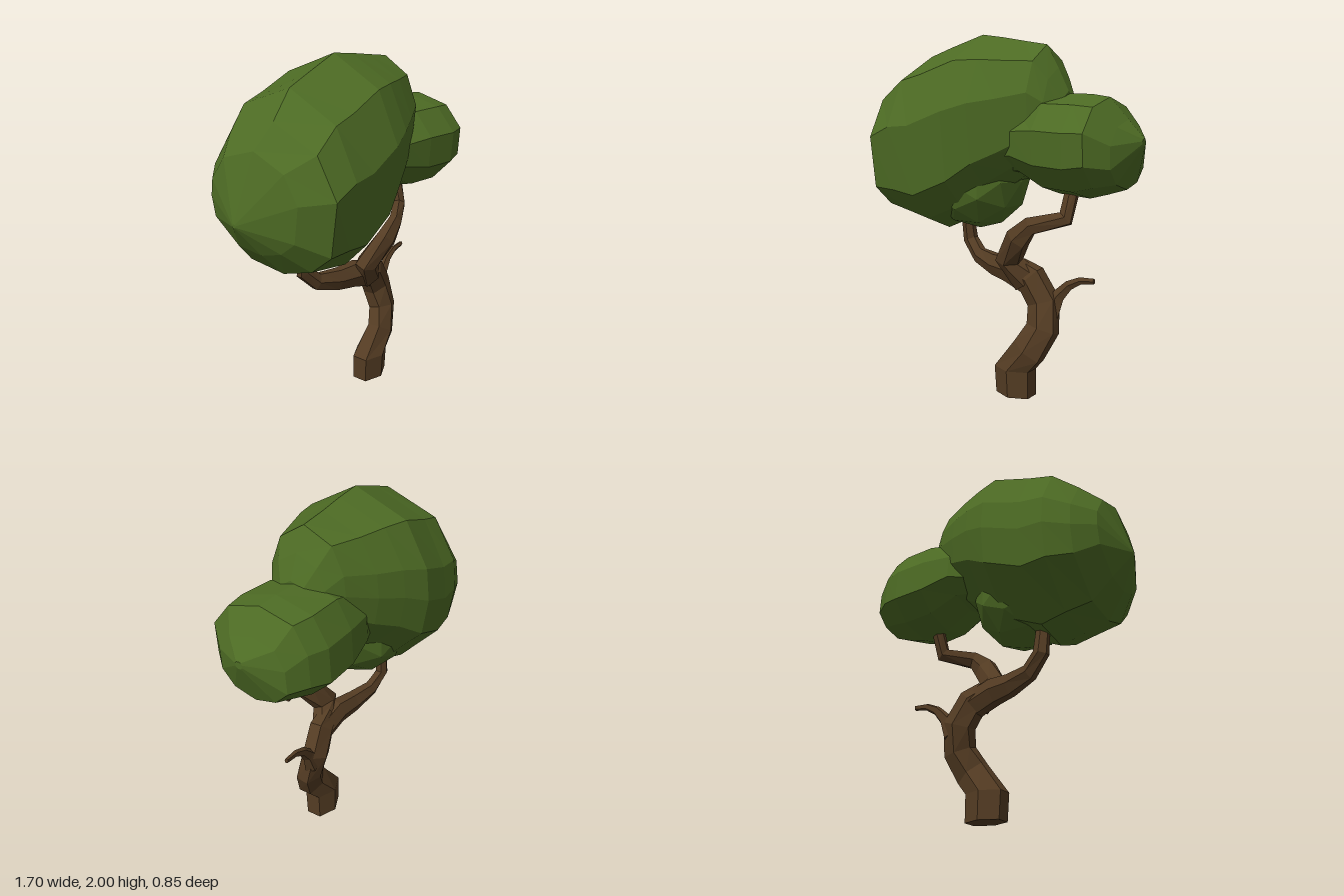
import * as THREE from 'three';

// Joins a row of equal-sided rings into a closed, flat-faceted skin
function loft(rings) {
  const n = rings[0].length;
  const pos = [];
  const tri = (...pts) => pts.forEach((p) => pos.push(p.x, p.y, p.z));
  for (let i = 0; i < rings.length - 1; i++) {
    for (let j = 0; j < n; j++) {
      const k = (j + 1) % n;
      const [a, b, c, d] = [rings[i][j], rings[i][k], rings[i + 1][j], rings[i + 1][k]];
      tri(a, c, b);
      tri(b, c, d);
    }
  }
  const middle = (ring) => ring.reduce((s, p) => s.add(p), new THREE.Vector3()).divideScalar(n);
  const first = rings[0], last = rings[rings.length - 1];
  const m0 = middle(first), m1 = middle(last);
  for (let j = 0; j < n; j++) {
    const k = (j + 1) % n;
    tri(m0, first[j], first[k]);
    tri(m1, last[k], last[j]);
  }
  const g = new THREE.BufferGeometry();
  g.setAttribute('position', new THREE.Float32BufferAttribute(pos, 3));
  g.computeVertexNormals();
  return g;
}

// Foliage: a unit section [z, y] fitted to stations [x, bottom, top, back, front]
function foliage(section, stations) {
  return loft(stations.map(([x, y0, y1, z0, z1]) =>
    section.map(([sz, sy]) => new THREE.Vector3(
      x,
      (y0 + y1) / 2 + ((y1 - y0) / 2) * sy,
      (z0 + z1) / 2 + ((z1 - z0) / 2) * sz
    ))));
}

// Wood: bent, tapering limb through points [x, y, z, radius]; the first levelRings stay horizontal
function limb(path, sides = 6, levelRings = 0) {
  const pts = path.map(([x, y, z]) => new THREE.Vector3(x, y, z));
  return loft(path.map(([, , , r], i) => {
    const t = pts[Math.min(i + 1, pts.length - 1)].clone().sub(pts[Math.max(i - 1, 0)]).normalize();
    if (i < levelRings) t.set(0, 1, 0);
    const u = new THREE.Vector3(0, 0, 1).addScaledVector(t, -t.z).normalize();
    const v = new THREE.Vector3().crossVectors(u, t);
    return Array.from({ length: sides }, (_, j) => {
      const a = (j / sides) * Math.PI * 2;
      return pts[i].clone()
        .addScaledVector(u, r * 0.84 * Math.cos(a))
        .addScaledVector(v, r * 1.15 * Math.sin(a));
    });
  }));
}

export function createModel() {
  const leaf = new THREE.MeshStandardMaterial({ color: 0x4d6b24 });
  leaf.name = 'leaf green';
  const bark = new THREE.MeshStandardMaterial({ color: 0x543c23 });
  bark.name = 'bark brown';

  const tree = new THREE.Group();
  tree.name = 'tree';
  const add = (name, geometry, material) => {
    const mesh = new THREE.Mesh(geometry, material);
    mesh.name = name;
    tree.add(mesh);
  };

  // Crooked trunk
  add('trunk', limb([
    [0.125, 0, 0.08, 0.106],
    [0.122, 0.155, 0.085, 0.11],
    [0.22, 0.275, 0.095, 0.09],
    [0.285, 0.4, 0.06, 0.086],
    [0.27, 0.54, 0.025, 0.086],
    [0.19, 0.67, 0.035, 0.082],
    [0.11, 0.71, 0.04, 0.065],
  ], 6, 2), bark);

  // Branch under the main crown
  add('rightBranch', limb([
    [0.19, 0.65, 0.035, 0.075],
    [0.04, 0.7, 0.02, 0.072],
    [-0.08, 0.705, -0.01, 0.06],
    [-0.22, 0.735, -0.05, 0.046],
    [-0.305, 0.82, -0.075, 0.042],
    [-0.315, 0.97, -0.06, 0.036],
  ]), bark);

  // Branch under the small crown
  add('leftBranch', limb([
    [0.17, 0.65, 0.035, 0.08],
    [0.08, 0.77, 0.085, 0.075],
    [0.18, 0.91, 0.15, 0.064],
    [0.26, 0.985, 0.155, 0.047],
    [0.43, 1.03, 0.075, 0.042],
    [0.45, 1.2, 0.03, 0.036],
  ]), bark);

  // Bare twig
  add('twig', limb([
    [0.31, 0.49, 0.02, 0.055],
    [0.36, 0.59, 0.015, 0.034],
    [0.42, 0.655, 0.01, 0.024],
    [0.49, 0.69, 0.01, 0.018],
    [0.57, 0.697, 0.01, 0.014],
  ], 5), bark);

  // Large leaning crown
  add('mainCrown', foliage([
    [1, 0.17], [0.72, 0.7], [0.07, 1], [-0.64, 0.75], [-0.95, 0.28], [-1, -0.07],
    [-0.93, -0.48], [-0.4, -0.94], [0.15, -1], [0.6, -0.85], [0.91, -0.57],
  ], [
    [-0.85, 1.28, 1.3, -0.05, -0.03],
    [-0.75, 1.12, 1.64, -0.28, 0.27],
    [-0.64, 0.99, 1.76, -0.375, 0.41],
    [-0.5, 0.945, 1.89, -0.42, 0.42],
    [-0.36, 0.905, 1.935, -0.425, 0.42],
    [-0.14, 1.0, 2.0, -0.43, 0.41],
    [0.0, 1.13, 1.98, -0.365, 0.37],
    [0.14, 1.22, 1.955, -0.29, 0.315],
    [0.29, 1.33, 1.93, -0.19, 0.25],
    [0.36, 1.38, 1.81, -0.13, 0.2],
    [0.42, 1.43, 1.69, -0.06, 0.13],
  ]), leaf);

  // Round tuft below the main crown
  const tuft = new THREE.IcosahedronGeometry(0.285, 1);
  tuft.computeVertexNormals();
  tuft.translate(-0.17, 1.2, 0.01);
  add('lowerTuft', tuft, leaf);

  // Small side crown, running into the main one
  add('sideCrown', foliage([
    [1, 0.3], [0.65, 0.8], [0, 1], [-0.65, 0.8], [-0.92, 0.25],
    [-0.96, -0.45], [-0.6, -0.85], [0, -1], [0.62, -0.8], [0.97, -0.35],
  ], [
    [-0.08, 1.25, 1.45, -0.15, 0.2],
    [0.19, 1.235, 1.62, -0.27, 0.265],
    [0.36, 1.15, 1.68, -0.29, 0.315],
    [0.55, 1.14, 1.675, -0.285, 0.35],
    [0.66, 1.17, 1.66, -0.24, 0.335],
    [0.755, 1.2, 1.55, -0.17, 0.23],
    [0.845, 1.42, 1.46, 0.02, 0.06],
  ]), leaf);

  return tree;
}
